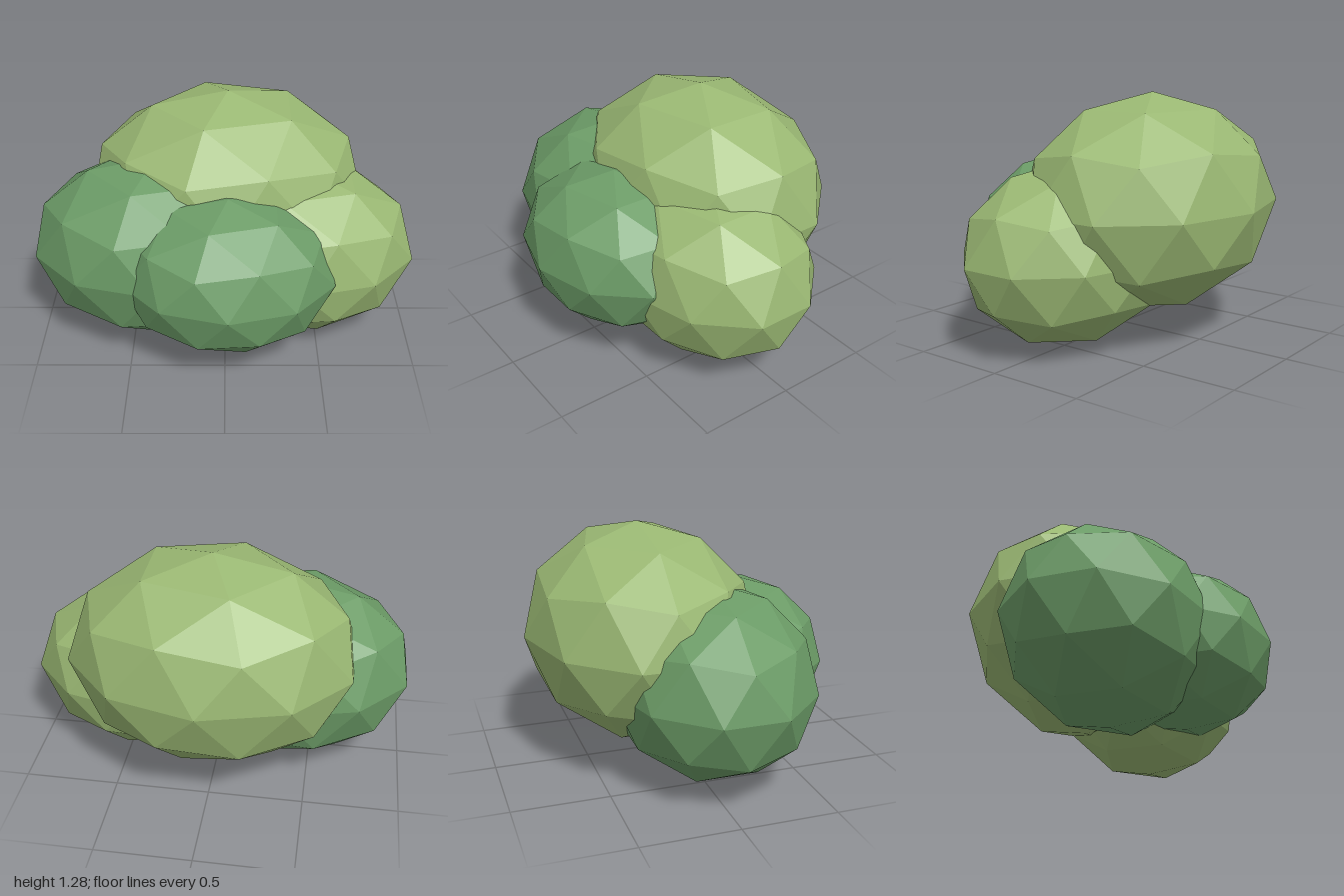
import * as THREE from 'three';

const LIGHT = 0x9ab873, DARK = 0x6c9c67;

// Each clump: name, colour, centre, radii
const CLUMPS = [
  ['backCrown', LIGHT, [0.015, 0.71, -0.2], [0.765, 0.57, 0.61]],
  ['frontClump', DARK, [0.015, 0.52, 0.35], [0.57, 0.42, 0.46]],
  ['rightClump', DARK, [-0.36, 0.518, 0.065], [0.673, 0.502, 0.53]],
  ['leftClump', LIGHT, [0.4, 0.475, 0.033], [0.631, 0.472, 0.494]],
];

export function createModel() {
  const bush = new THREE.Group();
  bush.name = 'bush';

  // Faceted ball, turned so that one corner points straight up
  const ball = new THREE.IcosahedronGeometry(1, 1);
  ball.rotateZ(Math.atan(2 / (1 + Math.sqrt(5))));

  for (const [name, color, centre, radii] of CLUMPS) {
    const geometry = ball.clone().scale(...radii);
    const material = new THREE.MeshStandardMaterial({ color, flatShading: true });
    const clump = new THREE.Mesh(geometry, material);
    clump.name = name;
    clump.position.set(...centre);
    bush.add(clump);
  }
  return bush;
}
